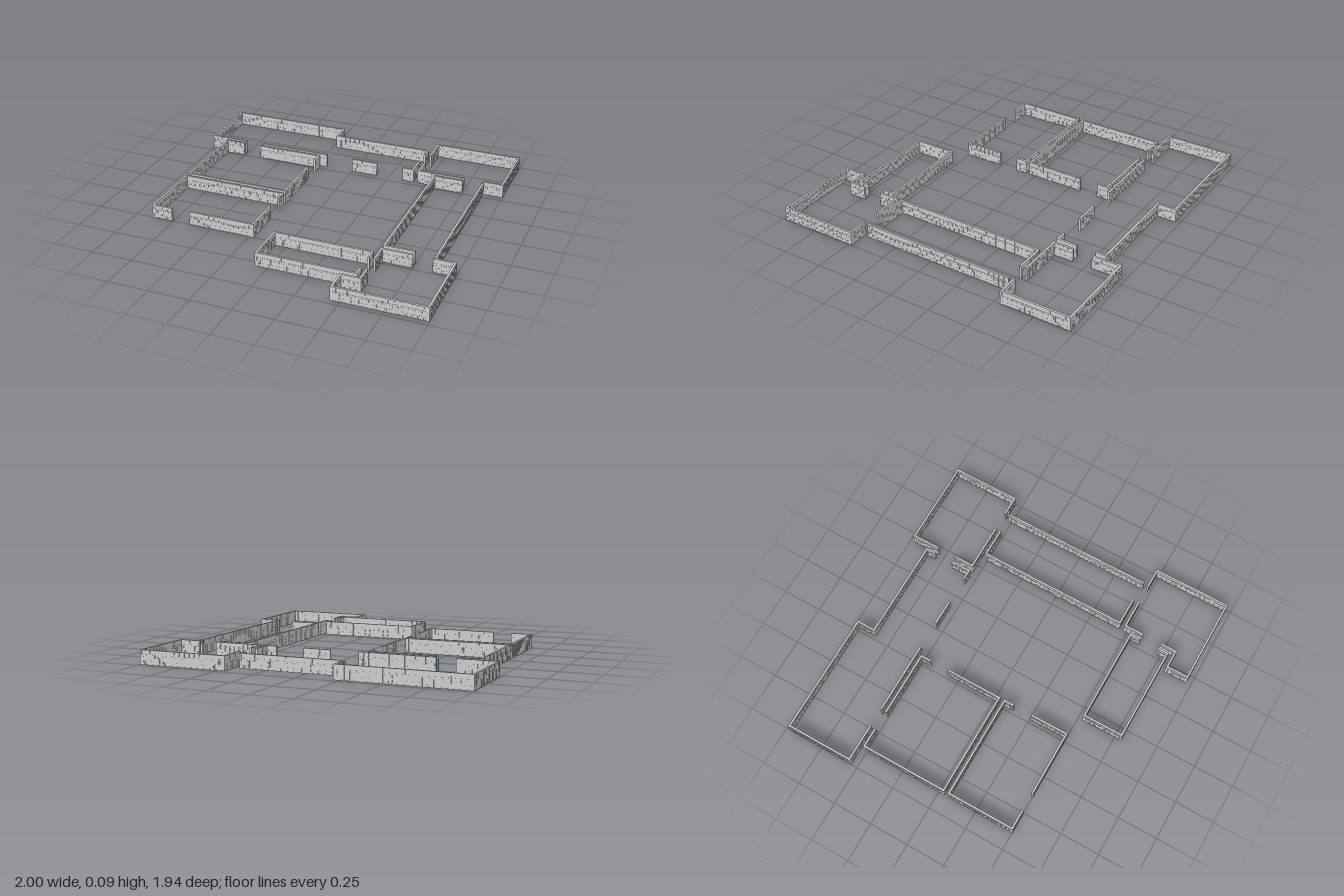
import * as THREE from 'three';
import { mergeGeometries } from 'three/addons/utils/BufferGeometryUtils.js';

const HEIGHT = 0.087;
const THICK = 0.013; // over the trim
const CORE = 0.010;
const BAY = 0.032; // spacing of the panel bays

// Wall runs per room as [x, z] centre lines; breaks between runs are doorways
const ROOMS = {
  northWestHall: [
    [[0.412, -0.79], [0.412, -0.852], [-0.222, -0.852], [-0.222, -0.967], [-0.994, -0.967], [-0.994, -0.546], [-0.755, -0.546]],
    [[-0.64, -0.546], [-0.175, -0.546]],
    [[0, -0.546], [0.17, -0.546]],
    [[0.345, -0.546], [0.412, -0.546], [0.412, -0.67]],
  ],
  northEastRoom: [
    [[0.452, -0.79], [0.452, -0.967], [0.994, -0.967], [0.994, -0.546], [0.866, -0.546]],
    [[0.452, -0.67], [0.452, -0.546], [0.75, -0.546]],
  ],
  eastCorridor: [
    [[0.75, -0.511], [0.566, -0.511], [0.566, 0.441], [0.75, 0.441]],
    [[0.865, -0.511], [0.876, -0.511], [0.876, 0.441], [0.865, 0.441]],
  ],
  southEastRoom: [
    [[0.75, 0.48], [0.566, 0.48], [0.566, 0.603]],
    [[0.566, 0.722], [0.566, 0.826], [0.452, 0.826], [0.452, 0.963], [0.994, 0.963], [0.994, 0.48], [0.866, 0.48]],
  ],
  southRoom: [
    [[0.53, 0.603], [0.53, 0.535], [-0.069, 0.535], [-0.069, 0.787], [0.53, 0.787], [0.53, 0.722]],
  ],
  westRoom: [
    [[-0.755, -0.511], [-0.881, -0.511], [-0.881, 0.035], [-0.224, 0.035], [-0.224, -0.325]],
    [[-0.64, -0.511], [-0.224, -0.511], [-0.224, -0.443]],
  ],
  southWestRoom: [
    [[-0.755, 0.497], [-0.881, 0.497], [-0.881, 0.072], [-0.224, 0.072], [-0.224, 0.136]],
    [[-0.64, 0.497], [-0.224, 0.497], [-0.224, 0.257]],
  ],
};

function box(w, h, d, x, y, z = 0) {
  return new THREE.BoxGeometry(w, h, d).translate(x, y, z);
}

// One straight wall along +x from 0 to length: core, rails, ribs and studs
function wallParts(length) {
  const mid = length / 2;
  const core = [box(length, HEIGHT, CORE, mid, HEIGHT / 2)];
  const trim = [
    box(length, 0.005, THICK, mid, 0.0025),
    box(length, 0.003, THICK, mid, 0.058),
    box(length, 0.004, THICK, mid, HEIGHT - 0.002),
  ];
  const studs = [];
  const bays = Math.max(1, Math.round(length / BAY));
  const step = length / bays;
  for (let i = 0; i <= bays; i++) {
    const x = THREE.MathUtils.clamp(i * step, 0.0015, length - 0.0015);
    trim.push(box(0.003, HEIGHT - 0.002, THICK - 0.0004, x, HEIGHT / 2));
    if (i === bays) break;
    // two rows of raised panels below the upper band, on both faces
    for (const y of [0.018, 0.043]) {
      studs.push(box(step * 0.5, 0.013, THICK - 0.001, (i + 0.5) * step, y));
    }
  }
  return { core, trim, studs };
}

export function createModel() {
  const model = new THREE.Group();
  model.name = 'floorPlanWalls';
  const material = new THREE.MeshStandardMaterial({ color: 0xcccccc, flatShading: true });

  for (const [name, runs] of Object.entries(ROOMS)) {
    const room = new THREE.Group();
    room.name = name;
    const layers = { core: [], trim: [], studs: [] };

    for (const run of runs) {
      for (let i = 0; i < run.length - 1; i++) {
        const a = new THREE.Vector2(...run[i]);
        const b = new THREE.Vector2(...run[i + 1]);
        const dir = b.clone().sub(a).normalize();
        // lengthen towards corners so that the walls meet, not at doorways
        if (i > 0) a.addScaledVector(dir, -THICK / 2);
        if (i < run.length - 2) b.addScaledVector(dir, THICK / 2);

        const place = new THREE.Matrix4()
          .makeRotationY(-Math.atan2(dir.y, dir.x))
          .setPosition(a.x, 0, a.y);
        const parts = wallParts(a.distanceTo(b));
        for (const key in layers) {
          for (const g of parts[key]) layers[key].push(g.applyMatrix4(place));
        }
      }
    }

    const names = { core: 'wallCore', trim: 'railsAndRibs', studs: 'raisedPanels' };
    for (const key in layers) {
      const mesh = new THREE.Mesh(mergeGeometries(layers[key]), material);
      mesh.name = names[key];
      room.add(mesh);
    }
    model.add(room);
  }
  return model;
}
